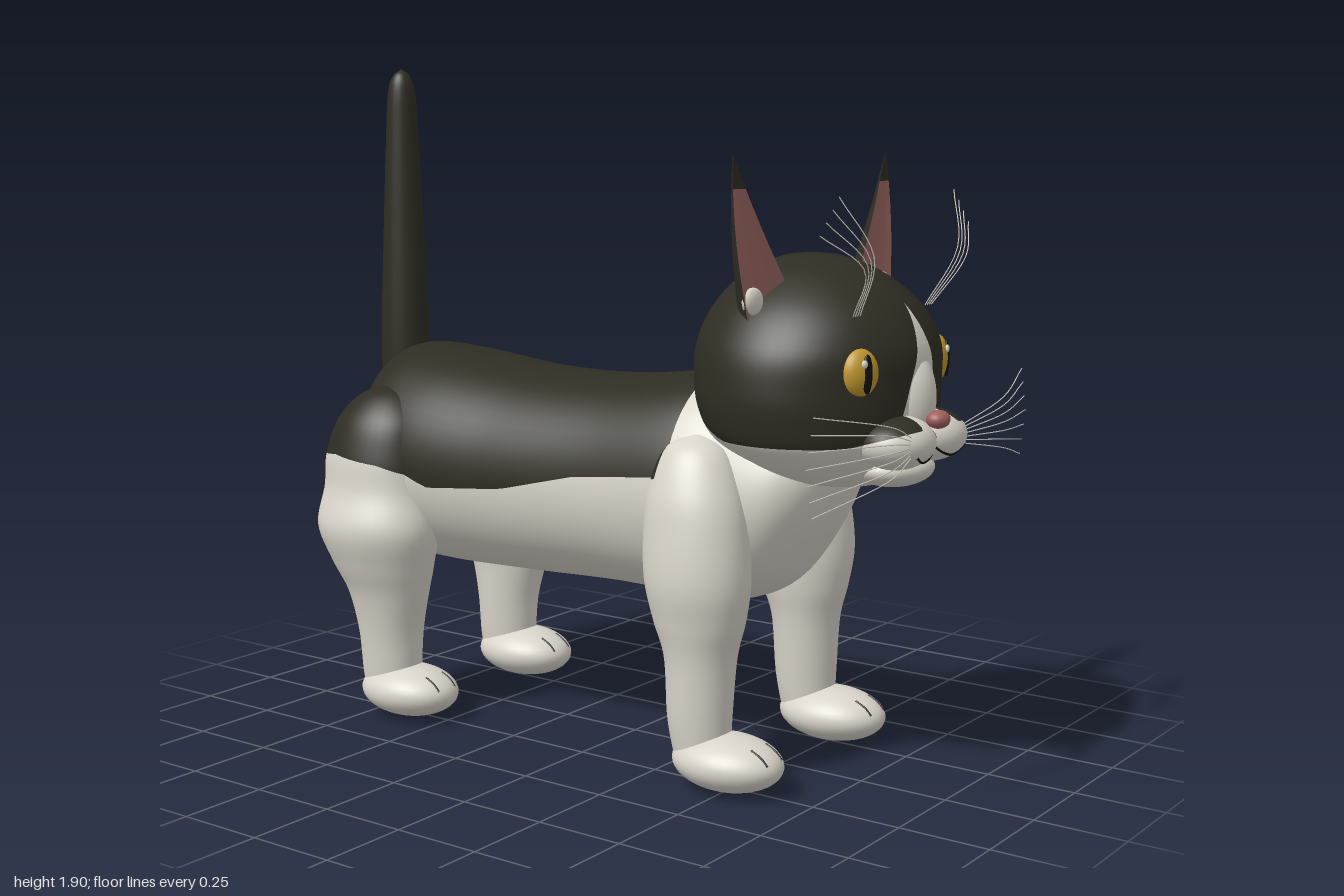
import * as THREE from 'three';

const mat = (name, color) => Object.assign(new THREE.MeshStandardMaterial({ color }), { name });
const black = mat('black fur', 0x2e2d23);
const white = mat('white fur', 0xd8d4ca);
const pink = mat('ear pink', 0x9a6660);
const rose = mat('nose rose', 0xa05f5d);
const amber = mat('eye amber', 0xc0962e);
const dark = mat('pupil black', 0x10100e);

// Grid surface from fn(u, v); faces point along dv x du
function surface(fn, nu, nv, closed = false) {
  const cols = closed ? nv : nv + 1, pos = [], idx = [];
  for (let i = 0; i <= nu; i++) for (let j = 0; j < cols; j++) pos.push(...fn(i / nu, j / nv));
  for (let i = 0; i < nu; i++) for (let j = 0; j < nv; j++) {
    const k = (j + 1) % cols, a = i * cols + j, b = i * cols + k, c = a + cols, d = b + cols;
    idx.push(a, b, c, b, d, c);
  }
  const g = new THREE.BufferGeometry();
  g.setAttribute('position', new THREE.Float32BufferAttribute(pos, 3));
  g.setIndex(idx);
  g.computeVertexNormals();
  return g;
}

// Smooth loft through elliptical rings [along, cx, c2, rx, r2], along 'y' or 'z'
function loft(rings, axis = 'y', nu = 64, nv = 48) {
  const spline = new THREE.CubicInterpolant(rings.map((r, i) => i), rings.flat(), 5);
  return surface((u, v) => {
    const [a, cx, c2, rx, r2] = spline.evaluate(u * (rings.length - 1));
    const t = v * Math.PI * 2;
    const x = cx + Math.max(rx, 0.001) * Math.cos(t), s = Math.max(r2, 0.001) * Math.sin(t);
    return axis === 'z' ? [x, c2 + s, a] : [x, a, c2 - s];
  }, nu, nv, true);
}

const ball = (c, r, n = 32) => new THREE.SphereGeometry(1, n, n * 0.75).scale(...r).translate(...c);

// Cut every triangle along f = 0: group 0 where f > 0, group 1 elsewhere
function paint(geo, f) {
  const g = geo.index ? geo.toNonIndexed() : geo, P = g.attributes.position, N = g.attributes.normal;
  const out = [{ p: [], n: [] }, { p: [], n: [] }];
  for (let i = 0; i < P.count; i += 3) {
    const tri = [0, 1, 2].map((k) => {
      const p = new THREE.Vector3().fromBufferAttribute(P, i + k);
      return { p, n: new THREE.Vector3().fromBufferAttribute(N, i + k), d: f(p.x, p.y, p.z) };
    });
    [1, -1].forEach((sign, side) => {
      const poly = [];
      tri.forEach((a, k) => {
        const b = tri[(k + 1) % 3], inA = sign * a.d > 0, inB = sign * b.d > 0;
        if (inA) poly.push(a);
        if (inA !== inB) {
          const t = a.d / (a.d - b.d);
          poly.push({ p: a.p.clone().lerp(b.p, t), n: a.n.clone().lerp(b.n, t).normalize() });
        }
      });
      for (let k = 1; k + 1 < poly.length; k++) for (const q of [poly[0], poly[k], poly[k + 1]]) {
        out[side].p.push(q.p.x, q.p.y, q.p.z);
        out[side].n.push(q.n.x, q.n.y, q.n.z);
      }
    });
  }
  const res = new THREE.BufferGeometry();
  res.setAttribute('position', new THREE.Float32BufferAttribute([...out[0].p, ...out[1].p], 3));
  res.setAttribute('normal', new THREE.Float32BufferAttribute([...out[0].n, ...out[1].n], 3));
  res.addGroup(0, out[0].p.length / 3, 0);
  res.addGroup(out[0].p.length / 3, out[1].p.length / 3, 1);
  return res;
}

// Saddle edge height along the body, as [z, y]
const saddle = [[-1, 0.76], [-0.8, 0.785], [-0.64, 0.765], [-0.5, 0.71], [-0.25, 0.73], [0, 0.79], [0.3, 0.82], [1, 0.82]];
const coat = (x, y, z) => {
  let k = 1;
  while (k < saddle.length - 1 && saddle[k][0] < z) k++;
  const [z0, y0] = saddle[k - 1], [z1, y1] = saddle[k];
  return Math.min(y - THREE.MathUtils.mapLinear(z, z0, z1, y0, y1), 0.3 - z);
};
// Dark mask with a white blaze
const mask = (x, y, z) => Math.min(
  y - 0.94 - Math.max(0, 0.5 - z) * 0.35 - Math.max(0, z - 0.82) * 0.3,
  z > 0.6 ? Math.abs(x) - (1.29 - y) * 0.3 : 1);

export function createModel() {
  const cat = new THREE.Group();
  cat.name = 'cat';
  const add = (name, geo, material, parent = cat) => {
    const m = new THREE.Mesh(geo, material);
    m.name = name;
    parent.add(m);
    return m;
  };
  const line = (name, pts, r, material, n = 12) => add(name, new THREE.TubeGeometry(
    new THREE.CatmullRomCurve3(pts.map((p) => new THREE.Vector3(...p))), n, r, 5), material);

  // Body and chest, as [z, top, bottom, half width]
  const body = [[-0.995, 0.76, 0.74, 0.005], [-0.94, 0.89, 0.6, 0.12], [-0.88, 1.02, 0.52, 0.21], [-0.78, 1.08, 0.45, 0.3],
    [-0.6, 1.075, 0.435, 0.34], [-0.3, 1.045, 0.44, 0.315], [0, 1.045, 0.45, 0.295], [0.28, 1.075, 0.445, 0.29],
    [0.4, 1.06, 0.455, 0.28], [0.52, 1.0, 0.51, 0.245], [0.61, 0.97, 0.63, 0.2], [0.68, 0.94, 0.76, 0.12], [0.71, 0.87, 0.84, 0.01]]
    .map(([z, t, b, w]) => [z, 0, (t + b) / 2, w, (t - b) / 2]);
  add('body', paint(loft(body, 'z', 96, 56), coat), [black, white]);

  // Tail
  add('tail', loft([[0.85, 0.07], [1.1, 0.073], [1.4, 0.062], [1.7, 0.049], [1.83, 0.041], [1.88, 0.026], [1.9, 0.001]]
    .map(([y, r]) => [y, 0, -0.875, r, r]), 'y', 40, 24), black);

  // Head, muzzle, nose and chin
  add('head', paint(loft([[0.8, 0, 0.68, 0.01, 0.01], [0.82, 0, 0.67, 0.14, 0.13], [0.87, 0, 0.65, 0.25, 0.2],
    [0.93, 0, 0.62, 0.33, 0.27], [1, 0, 0.605, 0.358, 0.3], [1.08, 0, 0.6, 0.364, 0.31], [1.18, 0, 0.6, 0.345, 0.31],
    [1.28, 0, 0.595, 0.277, 0.265], [1.36, 0, 0.585, 0.172, 0.178], [1.4, 0, 0.58, 0.075, 0.08],
    [1.41, 0, 0.58, 0.002, 0.002]], 'y', 72, 64), mask), [black, white]);
  add('noseBridge', paint(ball([0, 1.05, 0.86], [0.075, 0.13, 0.08]), mask), [black, white]);
  add('chin', ball([0, 0.865, 0.83], [0.125, 0.05, 0.1]), white);
  add('nose', ball([0, 1, 0.955], [0.036, 0.024, 0.03], 20), rose);
  const lip = (x, y) => [x, y, 0.88 + 0.1 * Math.sqrt(1 - ((Math.abs(x) - 0.085) / 0.115) ** 2 - ((y - 0.945) / 0.07) ** 2)];
  line('lipGroove', [lip(0, 0.98), lip(0, 0.955), lip(0, 0.93)], 0.004, dark);

  for (const s of [1, -1]) {
    const side = s > 0 ? 'left' : 'right';
    add(side + 'MuzzlePad', paint(ball([s * 0.085, 0.945, 0.88], [0.115, 0.07, 0.1]), mask), [black, white]);
    line(side + 'Mouth', [[0, 0.93], [0.04, 0.907], [0.085, 0.9], [0.13, 0.92]].map(([x, y]) => lip(s * x, y)), 0.004, dark);

    // Eye with slit pupil and glint
    const eye = new THREE.Group();
    eye.name = side + 'Eye';
    eye.position.set(s * 0.2, 1.13, 0.838);
    eye.rotation.y = s * 0.35;
    cat.add(eye);
    add('iris', ball([0, 0, 0], [0.056, 0.064, 0.036], 24), amber, eye);
    add('pupil', ball([0, 0, 0.029], [0.016, 0.05, 0.009], 16), dark, eye);
    add('glint', ball([-0.012, 0.026, 0.033], [0.009, 0.011, 0.006], 10), white, eye);

    // Ear: hollow front and rounded back sharing one outline
    const ear = (depth) => (u, v) => {
      const k = s > 0 ? v : 1 - v, b = 0.018 * Math.sin(Math.PI * u), L = THREE.MathUtils.lerp;
      const xo = L(0.362, 0.385, u) + b, yo = L(1.26, 1.67, u), xi = L(0.19, 0.383, u) + b * 0.4, yi = L(1.35, 1.67, u);
      return [s * L(xi, xo, k), L(yi, yo, k), L(0.61, 0.576, u) - depth * Math.sin(Math.PI * v) * (1 - u)];
    };
    add(side + 'EarFront', paint(surface(ear(0.015), 24, 12), (x, y) => y - 1.585), [black, pink]);
    add(side + 'EarBack', surface((u, v) => { const p = ear(0.08)(u, 1 - v); return [p[0], p[1], p[2]]; }, 24, 16), black);
    add(side + 'EarTuft', ball([s * 0.325, 1.305, 0.6], [0.042, 0.035, 0.018], 16), white);

    // Whiskers and brow hairs
    for (let i = 0; i < 7; i++) {
      const t = i / 6 - 0.5;
      line(side + 'Whisker', [[s * 0.14, 0.945 + t * 0.05, 0.955], [s * 0.3, 0.955 + t * 0.13, 0.985],
        [s * (0.59 - Math.abs(t) * 0.06), 0.95 + t * 0.24, 0.92]], 0.0015, white);
    }
    for (let i = 0; i < 4; i++) {
      line(side + 'BrowHair', [[s * (0.17 + i * 0.012), 1.27, 0.82], [s * (0.22 + i * 0.015), 1.42 - i * 0.01, 0.885],
        [s * (0.3 + i * 0.03), 1.57 - i * 0.03, 0.83]], 0.0015, white);
    }

    // Legs as [y, x, z, half width, half depth]
    const legs = {
      Front: [[0.06, 0.27, 0.42, 0.07, 0.07], [0.12, 0.27, 0.415, 0.08, 0.08], [0.2, 0.27, 0.41, 0.088, 0.088],
        [0.35, 0.267, 0.41, 0.098, 0.098], [0.45, 0.267, 0.405, 0.115, 0.128], [0.56, 0.27, 0.4, 0.128, 0.148],
        [0.7, 0.262, 0.39, 0.122, 0.146], [0.8, 0.25, 0.38, 0.11, 0.13], [0.9, 0.23, 0.37, 0.075, 0.085], [0.94, 0.22, 0.37, 0.002, 0.002]],
      Hind: [[0.06, 0.27, -0.7, 0.07, 0.075], [0.12, 0.27, -0.7, 0.08, 0.09], [0.25, 0.272, -0.7, 0.09, 0.1],
        [0.37, 0.28, -0.7, 0.105, 0.13], [0.46, 0.29, -0.71, 0.13, 0.165], [0.57, 0.3, -0.72, 0.15, 0.197],
        [0.68, 0.285, -0.73, 0.13, 0.18], [0.78, 0.265, -0.735, 0.135, 0.18], [0.88, 0.245, -0.73, 0.12, 0.155],
        [0.95, 0.23, -0.73, 0.07, 0.09], [0.98, 0.22, -0.73, 0.002, 0.002]],
    };
    for (const [kind, rings] of Object.entries(legs)) {
      const name = side + kind, x = s * 0.27, z = kind === 'Front' ? 0.5 : -0.63;
      add(name + 'Leg', paint(loft(rings.map(([y, cx, ...r]) => [y, s * cx, ...r]), 'y', 56, 36), coat), [black, white]);
      add(name + 'Paw', ball([x, 0.08, z], [0.118, 0.075, 0.16]), white);
      // Toe creases
      for (const dx of [-0.035, 0.035]) {
        line(name + 'ToeCrease', [0.3, 0.6, 0.9].map((a) =>
          [x + dx, 0.08 + 0.072 * Math.sin(a), z + 0.153 * Math.cos(a)]), 0.003, dark, 6);
      }
      // Sole pads
      for (const [dx, dz, r] of [[0, 0, 0.032], [-0.04, 0.025, 0.014], [-0.015, 0.046, 0.014], [0.015, 0.046, 0.014], [0.04, 0.025, 0.014]]) {
        add(name + 'SolePad', new THREE.CircleGeometry(r, 16).rotateX(Math.PI / 2).translate(x + dx, 0.001, z + 0.01 + dz), dark);
      }
    }
  }
  return cat;
}
